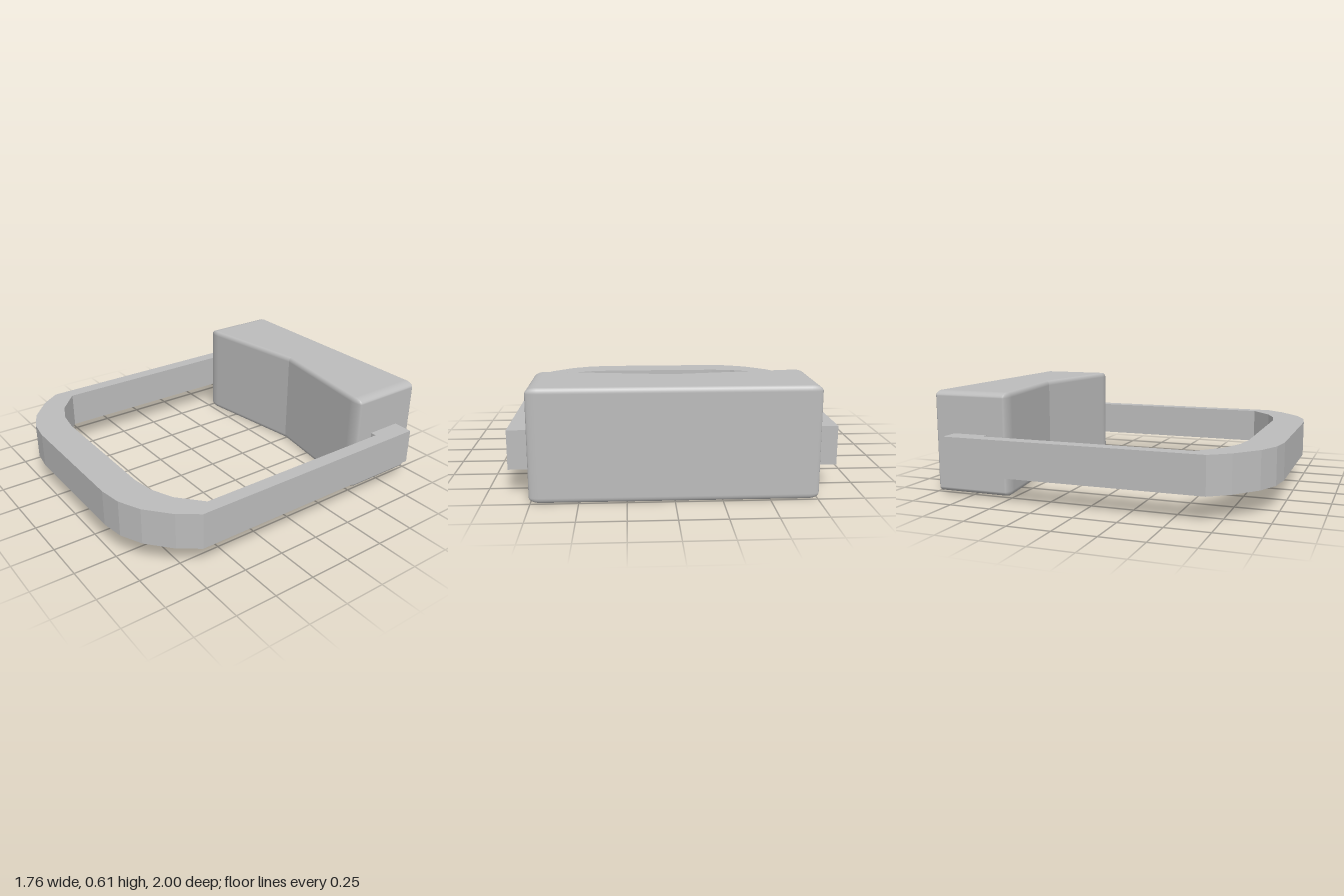
import * as THREE from 'three';

const grey = new THREE.MeshStandardMaterial({ color: 0xbcbcbc });
grey.name = 'plain grey';

// Flat band bent into a U, with pegs turned inward at the open ends
function createStrap() {
  const half = [ // [x, z] from the front middle, round the outside, back along the inside
    [0.39, 1], [0.525, 0.98], [0.655, 0.92], [0.795, 0.8], [0.878, 0.685], [0.878, -0.867],
    [0.7, -0.867], [0.7, -0.65], [0.795, -0.65], [0.795, 0.6], [0.655, 0.725], [0.525, 0.78], [0.39, 0.8],
  ];
  const outline = [...half, ...half.map(([x, z]) => [-x, z]).reverse()];
  const shape = new THREE.Shape(outline.map(([x, z]) => new THREE.Vector2(x, -z)));
  const geometry = new THREE.ExtrudeGeometry(shape, { depth: 0.215, bevelEnabled: false });
  geometry.rotateX(-Math.PI / 2);
  geometry.translate(0, 0.145, 0);
  return new THREE.Mesh(geometry, grey);
}

// Soft-edged block with a shallow V across its front face
function createBlock() {
  const rx = 0.06, ry = 0.03, rz = 0.02; // edge rounding on each axis
  const cx = 0.698, front = -0.548, back = -0.98, slope = 0.15;
  const height = 0.608, steps = 6;
  const tilt = Math.atan2(rz, -slope * rx); // rounding angle where the slanted front begins
  const notchZ = front - slope * cx;
  const notchOut = rz * Math.sin(tilt) - slope * rx * Math.cos(tilt);

  // Right half of the plan, from the back corner to the notch
  const half = [];
  const corner = (z, from, to) => {
    for (let i = 0; i <= steps; i++) {
      const a = from + (to - from) * i / steps;
      half.push({ x: cx, z, ox: rx * Math.cos(a), oz: rz * Math.sin(a), nx: Math.cos(a) / rx, nz: Math.sin(a) / rz });
    }
  };
  corner(back, -Math.PI / 2, 0);
  corner(front, 0, tilt);
  half.push({ x: 0, z: notchZ, ox: 0, oz: notchOut, nx: Math.cos(tilt) / rx, nz: Math.sin(tilt) / rz });
  const mirrored = half.map((p) => ({ ...p, x: -p.x, ox: -p.ox, nx: -p.nx })).reverse();
  const plan = [...half, ...mirrored];

  // Stack the plan in rounded layers from bottom to top
  const layers = [];
  for (let i = 0; i <= steps; i++) layers.push([ry, -Math.PI / 2 * (1 - i / steps)]);
  for (let i = 0; i <= steps; i++) layers.push([height - ry, Math.PI / 2 * i / steps]);
  const positions = [], normals = [], index = [];
  const normal = new THREE.Vector3();
  for (const [y, lat] of layers) {
    const c = Math.cos(lat), s = Math.sin(lat);
    for (const p of plan) {
      positions.push(p.x + p.ox * c, y + ry * s, p.z + p.oz * c);
      normal.set(p.nx * c, s / ry, p.nz * c).normalize();
      normals.push(normal.x, normal.y, normal.z);
    }
  }
  const n = plan.length, notch = half.length - 1, last = (layers.length - 1) * n;
  for (let l = 0; l < layers.length - 1; l++) {
    for (let i = 0; i < n; i++) {
      if (i === notch) continue; // doubled point keeps the V crisp
      const a = l * n + i, b = l * n + (i + 1) % n;
      index.push(a, a + n, b, b, a + n, b + n);
    }
  }
  // Top and bottom faces fan out from the notch
  for (let k = 1; k < n - 1; k++) {
    const a = (notch + k) % n, b = (notch + k + 1) % n;
    index.push(notch, a, b, last + notch, last + b, last + a);
  }
  const geometry = new THREE.BufferGeometry();
  geometry.setAttribute('position', new THREE.Float32BufferAttribute(positions, 3));
  geometry.setAttribute('normal', new THREE.Float32BufferAttribute(normals, 3));
  geometry.setIndex(index);
  return new THREE.Mesh(geometry, grey);
}

export function createModel() {
  const model = new THREE.Group();
  model.name = 'strapAndBlock';
  const strap = createStrap();
  strap.name = 'strap';
  const block = createBlock();
  block.name = 'notchedBlock';
  model.add(strap, block);
  return model;
}
